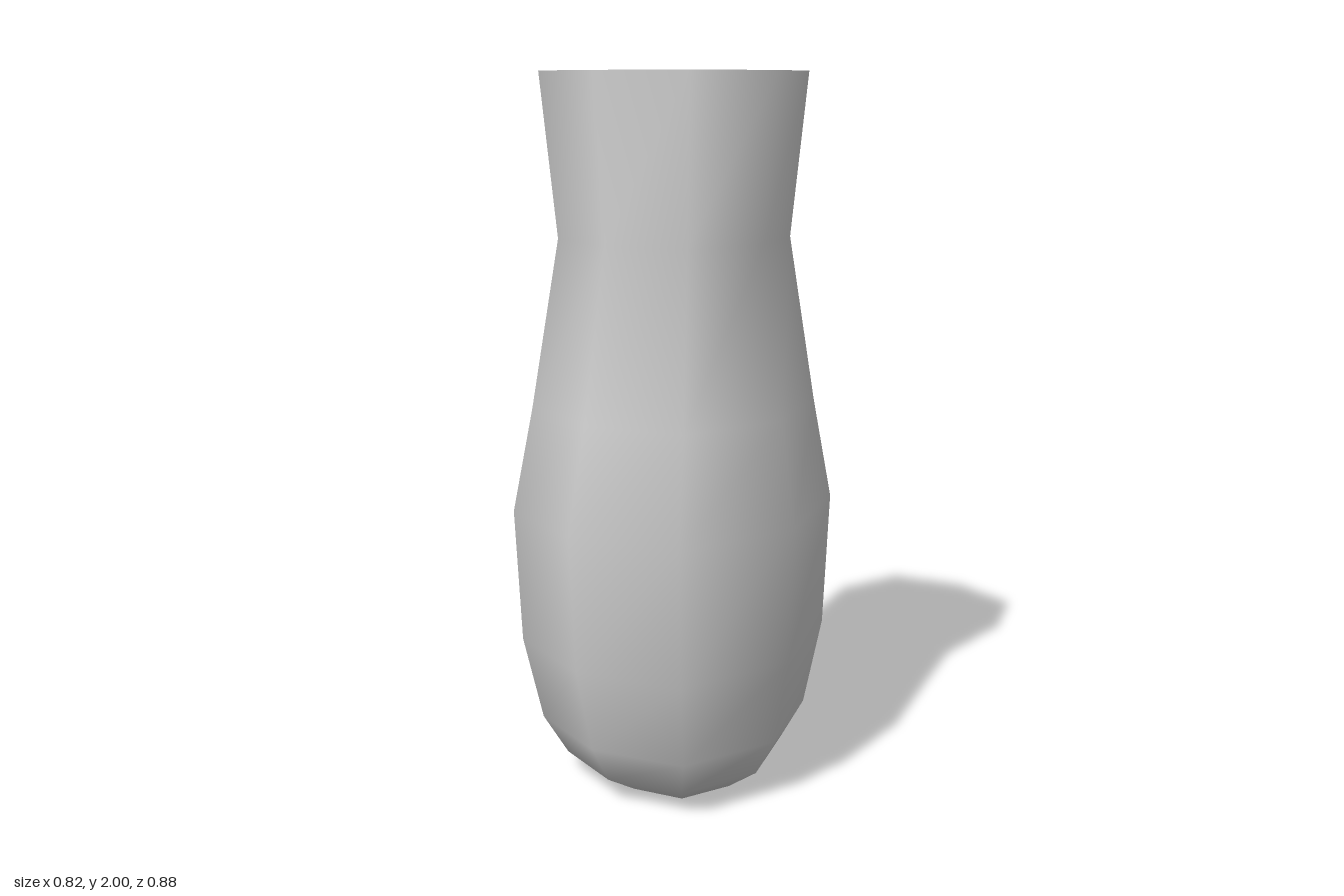
import * as THREE from 'three';

const SIDES = 8;

// Cross-sections: [height, x radius, z radius, x factor of the diagonal corners]
const OUTER = [
  [0, 0.2, 0.185, 0.72],
  [0.07, 0.295, 0.295, 0.72],
  [0.185, 0.36, 0.36, 0.72],
  [0.43, 0.4, 0.42, 0.72],
  [0.81, 0.41, 0.441, 0.72],
  [1.1, 0.365, 0.373, 0.73],
  [1.56, 0.297, 0.287, 0.75],
  [2, 0.34, 0.325, 0.75],
];
const INNER = [
  [2, 0.278, 0.272, 0.745],
  [1.56, 0.262, 0.255, 0.745],
  [0.8, 0.235, 0.23, 0.74],
  [0.25, 0.19, 0.185, 0.73],
  [0.12, 0.1, 0.1, 0.72],
];
const DIAGONAL_Z = 0.787;

// Eight-cornered ring: four corners on the axes, four on the diagonals
function ringPoints([y, rx, rz, kx]) {
  const points = [];
  for (let j = 0; j < SIDES; j++) {
    const a = (j / SIDES) * Math.PI * 2;
    const s = Math.sin(a), c = Math.cos(a);
    if (j % 2) points.push(Math.sign(s) * rx * kx, y, Math.sign(c) * rz * DIAGONAL_Z);
    else points.push(Math.round(s) * rx, y, Math.round(c) * rz);
  }
  return points;
}

// Closed skin: base centre, up the outside, over the rim, down to the inner floor
function vaseGeometry() {
  const rings = [...OUTER, ...INNER];
  const positions = rings.flatMap(ringPoints);
  const base = rings.length * SIDES, floor = base + 1;
  positions.push(0, 0, 0, 0, 0.1, 0);

  const index = [];
  const last = (rings.length - 1) * SIDES;
  for (let j = 0; j < SIDES; j++) {
    const k = (j + 1) % SIDES;
    index.push(base, k, j);
    for (let i = 0; i < last; i += SIDES) {
      const a = i + j, b = i + k, c = b + SIDES, d = a + SIDES;
      index.push(a, b, c, a, c, d);
    }
    index.push(last + j, last + k, floor);
  }

  const geometry = new THREE.BufferGeometry();
  geometry.setAttribute('position', new THREE.Float32BufferAttribute(positions, 3));
  geometry.setIndex(index);
  geometry.computeVertexNormals();
  return geometry;
}

export function createModel() {
  const group = new THREE.Group();
  group.name = 'vase';
  const body = new THREE.Mesh(vaseGeometry(), new THREE.MeshStandardMaterial({ color: 0xcccccc }));
  body.name = 'vaseBody';
  group.add(body);
  return group;
}
